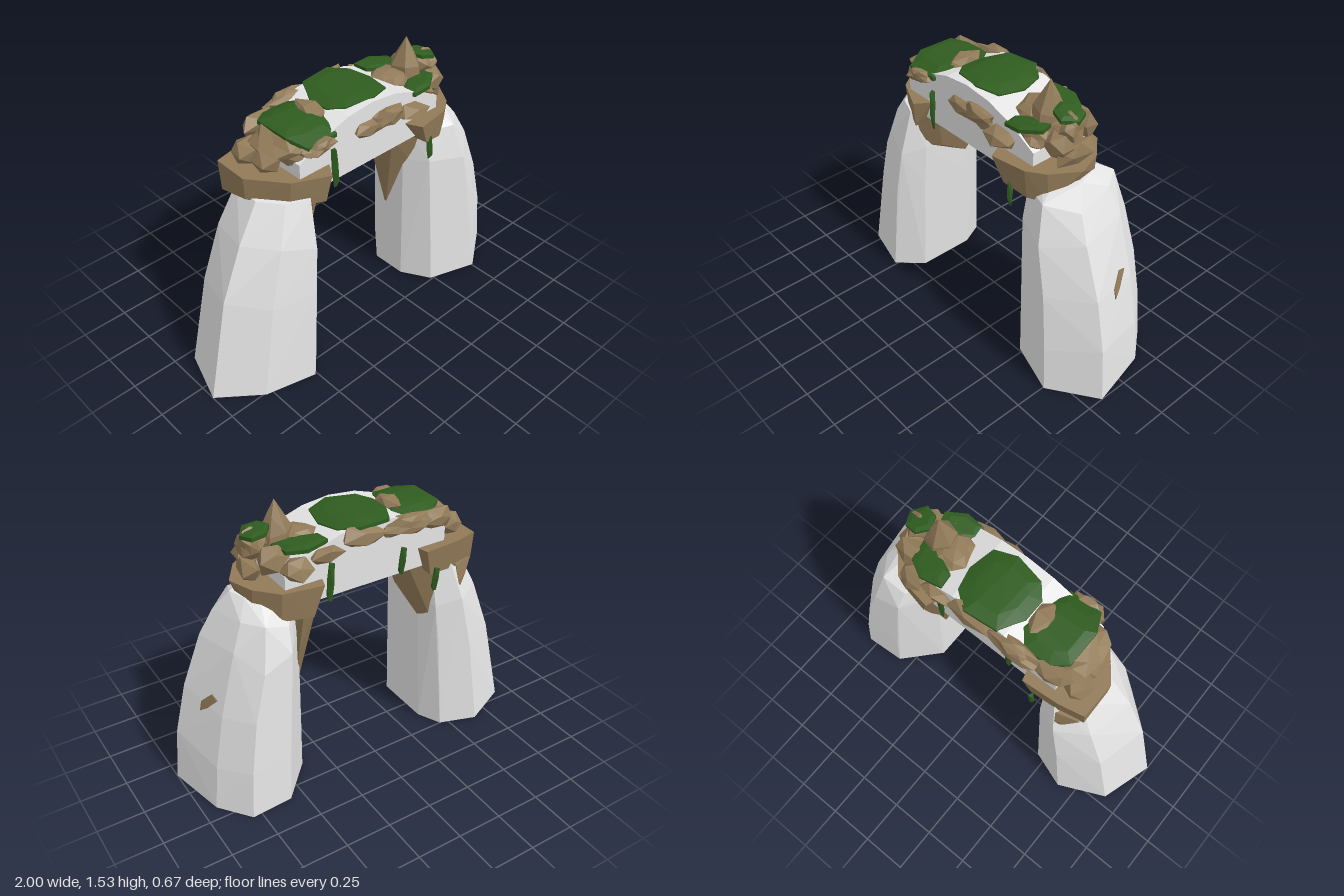
import * as THREE from 'three';
import { ConvexGeometry } from 'three/addons/geometries/ConvexGeometry.js';

const stone = new THREE.MeshStandardMaterial({ color: 0xe4e4e4 });
const earth = new THREE.MeshStandardMaterial({ color: 0x917a58 });
const moss = new THREE.MeshStandardMaterial({ color: 0x2f5c1f });
stone.name = 'paleStone';
earth.name = 'brownEarth';
moss.name = 'greenMoss';

const V = (x, y, z) => new THREE.Vector3(x, y, z);
const noise = (n) => { const s = Math.sin(n * 127.1 + 3.7) * 43758.5453; return s - Math.floor(s); };
const hull = (pts) => new ConvexGeometry(pts.map((p) => V(...p)));

// Height of the bridge's arched top
const archTop = (x) => 1.385 - 0.7 * (x - 0.01) ** 2;

// Faceted leg: a base outline drawn in towards its top, ring by ring
function legGeometry(base, levels) {
  const pts = [];
  levels.forEach(([y, inner, outer, zScale], k) => base.forEach(([u, z], i) => {
    const lift = k > 0 && k < levels.length - 1 ? (noise(i * 7 + k) - 0.5) * 0.1 : 0;
    pts.push([inner + (outer - inner) * u, y + lift, z * zScale]);
  }));
  return hull(pts);
}

// Boulder: an icosahedron with its corners pushed in and out
function rockGeometry(w, h, d, seed, detail) {
  const g = new THREE.IcosahedronGeometry(1, detail);
  const p = g.attributes.position;
  for (let i = 0; i < p.count; i++) {
    const v = V(0, 0, 0).fromBufferAttribute(p, i);
    const key = Math.round(v.x * 50) + Math.round(v.y * 50) * 3.1 + Math.round(v.z * 50) * 7.3;
    v.multiplyScalar(0.75 + 0.5 * noise(key + seed));
    p.setXYZ(i, v.x * w, v.y * h, v.z * d);
  }
  g.computeVertexNormals();
  return g;
}

// Ragged low pad laid over a surface height
function padGeometry(outline, height) {
  const cx = outline.reduce((s, p) => s + p[0], 0) / outline.length;
  const cz = outline.reduce((s, p) => s + p[1], 0) / outline.length;
  const pts = [];
  outline.forEach(([x, z]) => {
    const mx = cx + (x - cx) * 0.65, mz = cz + (z - cz) * 0.65;
    pts.push([x, height(x, z) - 0.02, z], [x, height(x, z), z], [mx, height(mx, mz) + 0.008, mz]);
  });
  return hull(pts);
}

export function createModel() {
  const model = new THREE.Group();
  const add = (name, geometry, material, x = 0, y = 0, z = 0) => {
    const m = new THREE.Mesh(geometry, material);
    m.name = name;
    m.position.set(x, y, z);
    model.add(m);
    return m;
  };

  // Legs, outlines given as share of width (0 inner, 1 outer) and z
  const leftBase = [[1, 0.16], [0.6, 0.33], [0.15, 0.24], [0, 0.08], [0, -0.12], [0.3, -0.32], [0.67, -0.335], [0.88, -0.17]];
  const rightBase = [[1, 0.09], [0.65, 0.26], [0.2, 0.33], [0, 0.2], [0, -0.12], [0.1, -0.25], [0.43, -0.32], [0.85, -0.2]];
  const leftLeg = add('leftLeg', legGeometry(leftBase, [
    [0.001, 0.39, 1, 1], [0.3, 0.385, 0.97, 0.965], [0.55, 0.38, 0.905, 0.91], [0.84, 0.375, 0.8, 0.85],
    [0.99, 0.38, 0.73, 0.68], [1.1, 0.39, 0.66, 0.3],
  ]), stone);
  add('rightLeg', legGeometry(rightBase, [
    [0.001, -0.39, -1, 1], [0.57, -0.37, -0.87, 0.92], [0.83, -0.36, -0.745, 0.85], [1.05, -0.365, -0.62, 0.66],
  ]), stone);

  // Earth showing under the feet
  const footPlate = (name, pts) => add(name, hull(pts.flatMap(([x, z]) => [[x, 0, z], [x, 0.001, z]])), earth);
  footPlate('leftFootEarth', leftBase.map(([u, z]) => [0.39 + 0.61 * u, z]));
  const foot = rightBase.map(([u, z]) => [-0.39 - 0.61 * u, z]);
  footPlate('rightFootEarthInner', [foot[2], foot[3], foot[4], foot[5], [-0.5, -0.22], [-0.53, 0.2]]);
  footPlate('rightFootEarthOuter', [foot[7], foot[0], foot[1], [-0.83, 0.04]]);

  // Earth patch lying on the outer side of the left leg
  leftLeg.updateMatrixWorld();
  const onLeg = (y, z) => new THREE.Raycaster(V(2, y, z), V(-1, 0, 0)).intersectObject(leftLeg)[0].point.x;
  const patch = [[0.505, 0], [0.56, 0], [0.625, -0.06], [0.61, -0.105], [0.54, -0.045]];
  add('legEarthPatch', hull(patch.flatMap(([y, z]) => [[onLeg(y, z) + 0.005, y, z], [onLeg(y, z) - 0.002, y, z]])), earth);

  // Earth collars on top of the legs: x, z of the rim, then lower y
  const collar = (name, rim, low, high) => add(name, hull(rim.flatMap(([x, z, y]) =>
    [[x, 1.16, z], [Math.min(high, Math.max(low, x)), y, z * 0.92]])), earth);
  collar('leftCollar', [[0.25, 0.19, 1.03], [0.29, 0.27, 1.03], [0.48, 0.24, 1.0], [0.57, 0.18, 0.99], [0.66, 0.04, 1.08],
    [0.61, -0.1, 1.08], [0.51, -0.21, 1.0], [0.3, -0.245, 0.99], [0.25, -0.1, 1.02]], 0.35, 0.63);
  collar('rightCollar', [[-0.27, 0.19, 1.02], [-0.32, 0.265, 1.01], [-0.5, 0.18, 1.01], [-0.64, 0.0, 1.04],
    [-0.635, -0.2, 1.0], [-0.5, -0.23, 1.0], [-0.3, -0.245, 1.01], [-0.26, -0.1, 1.02]], -0.635, -0.34);

  // Earth hanging down the legs below the collars
  add('leftDrape', hull([
    [0.25, 1.03, 0.1], [0.26, 1.03, -0.12], [0.4, 1.05, 0.16], [0.4, 1.05, -0.22], [0.325, 0.86, 0.04],
    [0.33, 0.84, -0.1], [0.345, 0.62, -0.06], [0.41, 0.8, 0.09], [0.41, 0.78, -0.17], [0.39, 0.43, -0.06],
  ]), earth);
  add('rightDrape', hull([
    [-0.28, 1.04, 0.14], [-0.27, 1.04, -0.12], [-0.39, 1.05, 0.21], [-0.4, 1.05, -0.22], [-0.335, 0.82, 0.08],
    [-0.335, 0.82, -0.08], [-0.38, 0.84, 0.17], [-0.39, 0.72, -0.17], [-0.36, 0.7, -0.1],
  ]), earth);
  add('rightBackDrape', hull([
    [-0.5, 1.02, -0.235], [-0.62, 1.02, -0.2], [-0.55, 1.02, -0.15], [-0.51, 0.93, -0.25], [-0.57, 0.95, -0.23], [-0.53, 0.88, -0.24],
  ]), earth);

  // Bridge with an arched top
  const side = new THREE.Shape();
  side.moveTo(-0.45, 1.05);
  side.lineTo(0.48, 1.05);
  for (let i = 0; i <= 6; i++) {
    const x = 0.48 - (0.93 * i) / 6;
    side.lineTo(x, archTop(x));
  }
  add('bridge', new THREE.ExtrudeGeometry(side, { depth: 0.37, bevelEnabled: false }), stone, 0, 0, -0.185);

  // Boulders: x, y, z, then half width, height and depth
  const rocks = [
    [-0.42, 1.28, 0.02, 0.12, 0.08, 0.17], [-0.51, 1.22, 0.02, 0.08, 0.07, 0.1], [-0.53, 1.21, -0.12, 0.08, 0.07, 0.09],
    [-0.34, 1.3, 0.19, 0.09, 0.035, 0.06], [-0.4, 1.29, -0.17, 0.12, 0.06, 0.06], [-0.225, 1.355, 0.0, 0.06, 0.035, 0.1],
    [0.11, 1.265, 0.19, 0.11, 0.06, 0.04], [-0.03, 1.255, 0.19, 0.1, 0.05, 0.035], [0.28, 1.235, 0.19, 0.09, 0.045, 0.08],
    [-0.2, 1.32, -0.19, 0.14, 0.05, 0.045], [0.06, 1.33, -0.19, 0.13, 0.06, 0.055], [0.26, 1.29, -0.19, 0.11, 0.055, 0.05],
    [0.31, 1.325, 0.01, 0.1, 0.045, 0.11], [0.54, 1.26, 0.08, 0.07, 0.08, 0.07], [0.5, 1.3, -0.1, 0.09, 0.08, 0.07],
    [0.54, 1.33, 0.02, 0.07, 0.08, 0.08], [0.57, 1.21, 0.01, 0.06, 0.07, 0.11], [0.42, 1.25, -0.19, 0.08, 0.06, 0.06],
    [0.41, 1.28, 0.12, 0.08, 0.06, 0.07],
  ];
  rocks.forEach(([x, y, z, w, h, d], i) =>
    add('boulder', rockGeometry(w, h, d, i * 1.7, i % 3 === 0 ? 1 : 0), earth, x, y, z));

  // Pointed spire
  const spire = [[0.41, 1.53, 0.02]];
  for (let i = 0; i < 6; i++) {
    const a = (i / 6) * Math.PI * 2 + 0.3, c = Math.cos(a), s = Math.sin(a);
    spire.push([0.41 + 0.08 * c, 1.36 + 0.04 * noise(i), 0.02 + 0.08 * s]);
    spire.push([0.42 + 0.09 * c, 1.24, 0.02 + 0.1 * s]);
    spire.push([0.41 + 0.042 * c, 1.45, 0.02 + 0.042 * s]);
  }
  add('spire', hull(spire), earth);

  // Moss pads
  add('mossRight', padGeometry([[-0.46, -0.1], [-0.38, -0.16], [-0.24, -0.16], [-0.18, -0.09], [-0.21, 0.08], [-0.23, 0.2],
    [-0.41, 0.205], [-0.46, 0.1]], (x, z) => 1.365 - z * z), moss);
  add('mossMiddle', padGeometry([[-0.17, -0.06], [-0.1, -0.19], [0.08, -0.21], [0.17, -0.14], [0.2, -0.02], [0.17, 0.12],
    [0.05, 0.16], [-0.11, 0.13], [-0.17, 0.06]], (x) => archTop(x) + 0.006), moss);
  add('mossLeftFront', padGeometry([[0.27, 0.13], [0.34, 0.08], [0.47, 0.07], [0.49, 0.14], [0.4, 0.205], [0.3, 0.2]],
    (x) => 1.33 + (x - 0.4) * 0.1), moss);
  add('mossLeftBack', padGeometry([[0.24, -0.18], [0.36, -0.2], [0.45, -0.15], [0.47, -0.04], [0.4, -0.03], [0.25, -0.1]],
    (x) => 1.35 - (x - 0.34) * 0.1), moss);
  add('mossLeftOuter', padGeometry([[0.45, 0], [0.5, -0.06], [0.57, -0.05], [0.6, 0.02], [0.55, 0.09], [0.48, 0.07]],
    (x) => 1.405 - (x - 0.53) * 0.2), moss);

  // Hanging vines: x, z, top, bottom
  [[-0.245, 0.2, 1.24, 1.02], [0.385, 0.24, 1.05, 0.91], [0.24, -0.2, 1.24, 1.03],
    [-0.18, -0.2, 1.2, 1.05], [-0.36, -0.245, 1.05, 0.92]].forEach(([x, z, top, low]) => {
    const y = (t) => low + (top - low) * t;
    add('vine', hull([
      [x - 0.015, top, z - 0.012], [x + 0.012, top, z - 0.012], [x, top, z + 0.014],
      [x + 0.022, y(0.6), z], [x - 0.02, y(0.45), z], [x + 0.02, y(0.15), z + 0.01],
      [x - 0.006, low, z], [x + 0.012, low, z], [x, y(0.5), z - 0.016], [x, y(0.4), z + 0.018],
    ]), moss);
  });

  return model;
}
